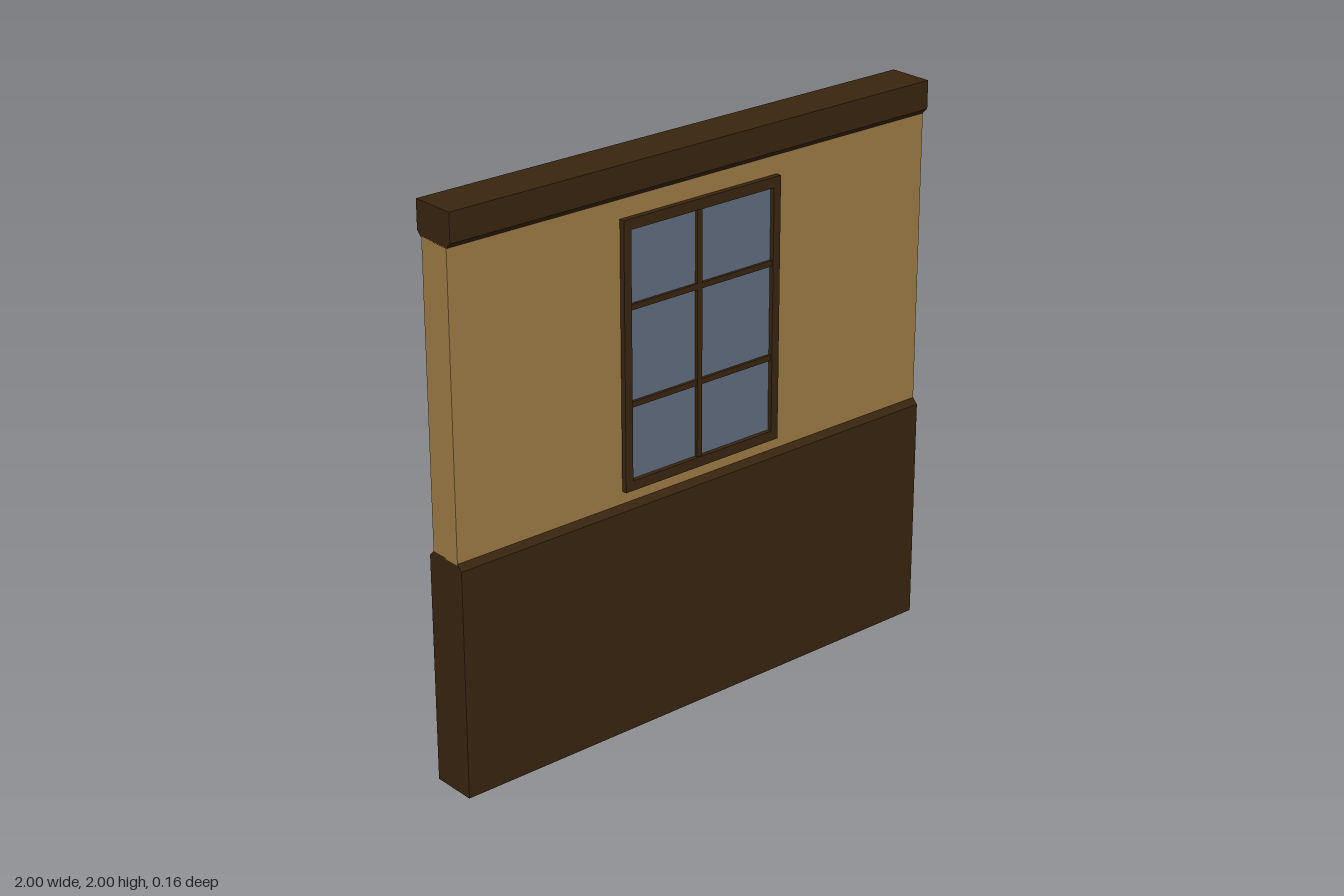
import * as THREE from 'three';

const mat = (color) => new THREE.MeshStandardMaterial({ color, roughness: 0.9, flatShading: true });

export function createModel() {
  const wood = mat(0x38250f), plaster = mat(0xa07c45), pane = mat(0x626d80);
  const model = new THREE.Group();
  model.name = 'windowWall';

  const add = (parent, name, geometry, material) => {
    const mesh = new THREE.Mesh(geometry, material);
    mesh.name = name;
    parent.add(mesh);
    return mesh;
  };
  const box = (parent, name, material, x0, x1, y0, y1, z0, z1) =>
    add(parent, name, new THREE.BoxGeometry(x1 - x0, y1 - y0, z1 - z0), material)
      .position.set((x0 + x1) / 2, (y0 + y1) / 2, (z0 + z1) / 2);

  const outer = 0.082, inner = 0.062;

  // Full-width beam swept along x from a [z, y] half profile mirrored in z
  const beam = (name, half) => {
    const points = [...half, ...half.map(([z, y]) => [-z, y]).reverse()];
    const shape = new THREE.Shape(points.map(([z, y]) => new THREE.Vector2(z, y)));
    const geometry = new THREE.ExtrudeGeometry(shape, { depth: 2, bevelEnabled: false });
    geometry.translate(0, 0, -1).rotateY(-Math.PI / 2);
    add(model, name, geometry, wood);
  };

  // Plaster wall between the chamfered wainscot and cornice
  box(model, 'plasterWall', plaster, -1, 1, 0.83, 1.885, -inner, inner);
  beam('wainscot', [[outer, 0], [outer, 0.815], [inner, 0.835]]);
  beam('cornice', [[inner, 1.88], [outer, 1.9], [outer, 2]]);

  // Framed window, repeated on both faces by a half turn
  for (const [name, turn] of [['frontWindow', 0], ['backWindow', Math.PI]]) {
    const win = new THREE.Group();
    win.name = name;
    win.rotation.y = turn;
    model.add(win);

    const rect = (path, x, y0, y1) =>
      path.moveTo(-x, y0).lineTo(x, y0).lineTo(x, y1).lineTo(-x, y1).closePath();
    const shape = rect(new THREE.Shape(), 0.332, 0.88, 1.815);
    shape.holes.push(rect(new THREE.Path(), 0.302, 0.915, 1.778));
    const frame = new THREE.ExtrudeGeometry(shape, { depth: 0.024, bevelEnabled: false });
    add(win, 'windowFrame', frame.translate(0, 0, 0.058), wood);

    box(win, 'glass', pane, -0.31, 0.31, 0.905, 1.785, 0.055, 0.066);
    box(win, 'verticalBar', wood, -0.023, -0.002, 0.91, 1.782, 0.06, 0.077);
    for (const y of [1.18, 1.515])
      box(win, 'horizontalBar', wood, -0.306, 0.306, y - 0.01, y + 0.01, 0.06, 0.076);
  }
  return model;
}
